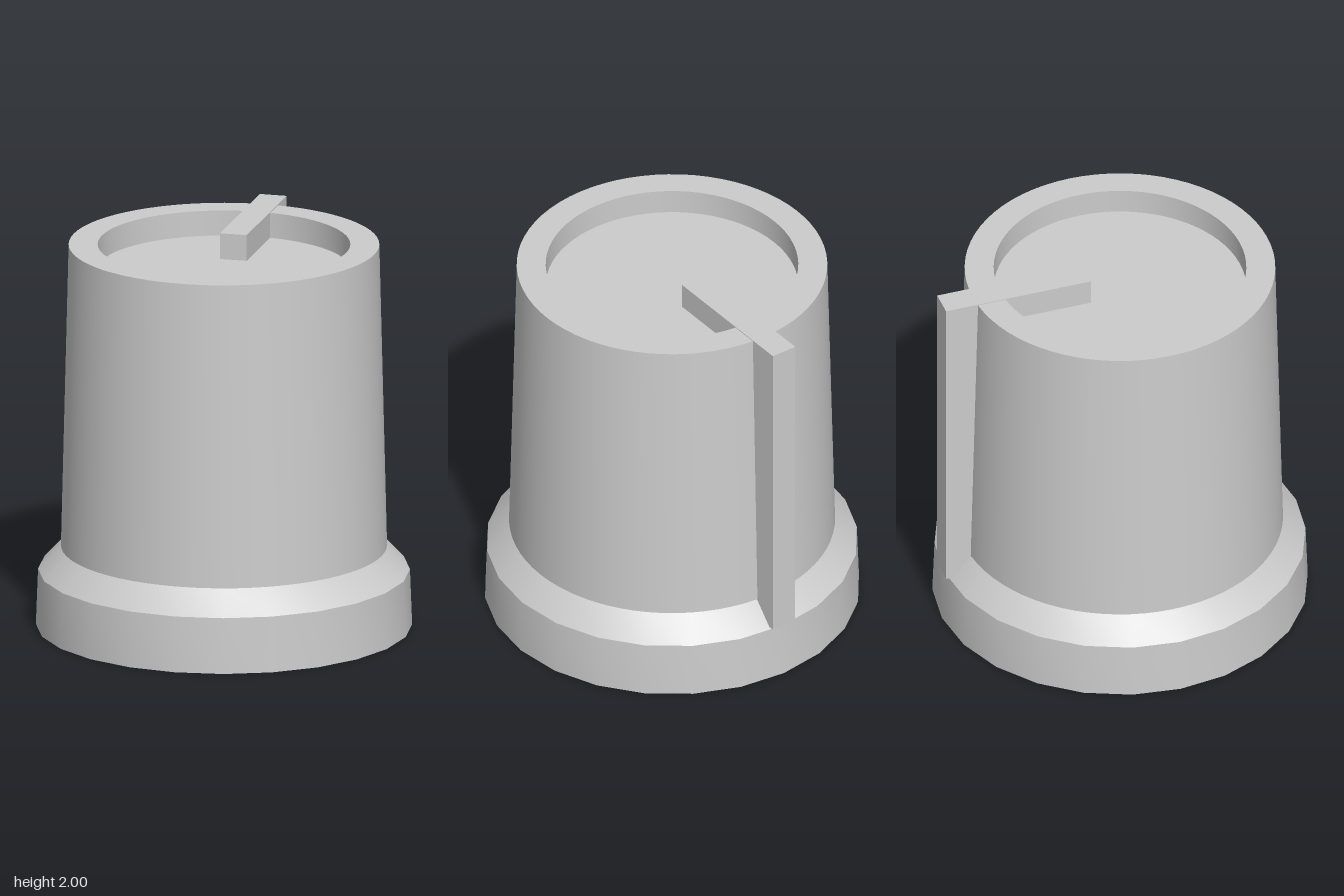
import * as THREE from 'three';
import { toCreasedNormals } from 'three/addons/utils/BufferGeometryUtils.js';

const material = new THREE.MeshStandardMaterial({ color: 0xcccccc });

function addPart(group, name, geometry) {
  const mesh = new THREE.Mesh(toCreasedNormals(geometry, Math.PI / 7), material);
  mesh.name = name;
  group.add(mesh);
}

// Revolve a profile of [radius, height] pairs, listed from the bottom up
function revolve(profile, sides) {
  return new THREE.LatheGeometry(profile.map(([r, y]) => new THREE.Vector2(r, y)), sides);
}

export function createModel() {
  const group = new THREE.Group();
  group.name = 'controlKnob';

  // Wide base skirt with a chamfered shoulder
  addPart(group, 'skirt', revolve([[0, 0], [0.953, 0], [0.942, 0.29], [0.825, 0.415], [0, 0.415]], 24));

  // Tapered grip with a round recess in its top
  const floorY = 1.865;
  addPart(group, 'grip', revolve([[0.826, 0.415], [0.787, 1.996], [0.64, 1.996], [0.64, floorY], [0, floorY]], 72));

  // Pointer: a bar across the recess that runs down the back of the grip
  const side = new THREE.Shape([
    [0.18, floorY], [0.7, floorY], [0.7, 0.3], [0.955, 0.3], [0.955, 2], [0.18, 2],
  ].map(([back, y]) => new THREE.Vector2(back, y)));
  const pointer = new THREE.ExtrudeGeometry(side, { depth: 0.14, bevelEnabled: false });
  pointer.rotateY(Math.PI / 2).translate(-0.07, 0, 0);
  addPart(group, 'pointer', pointer);

  return group;
}
